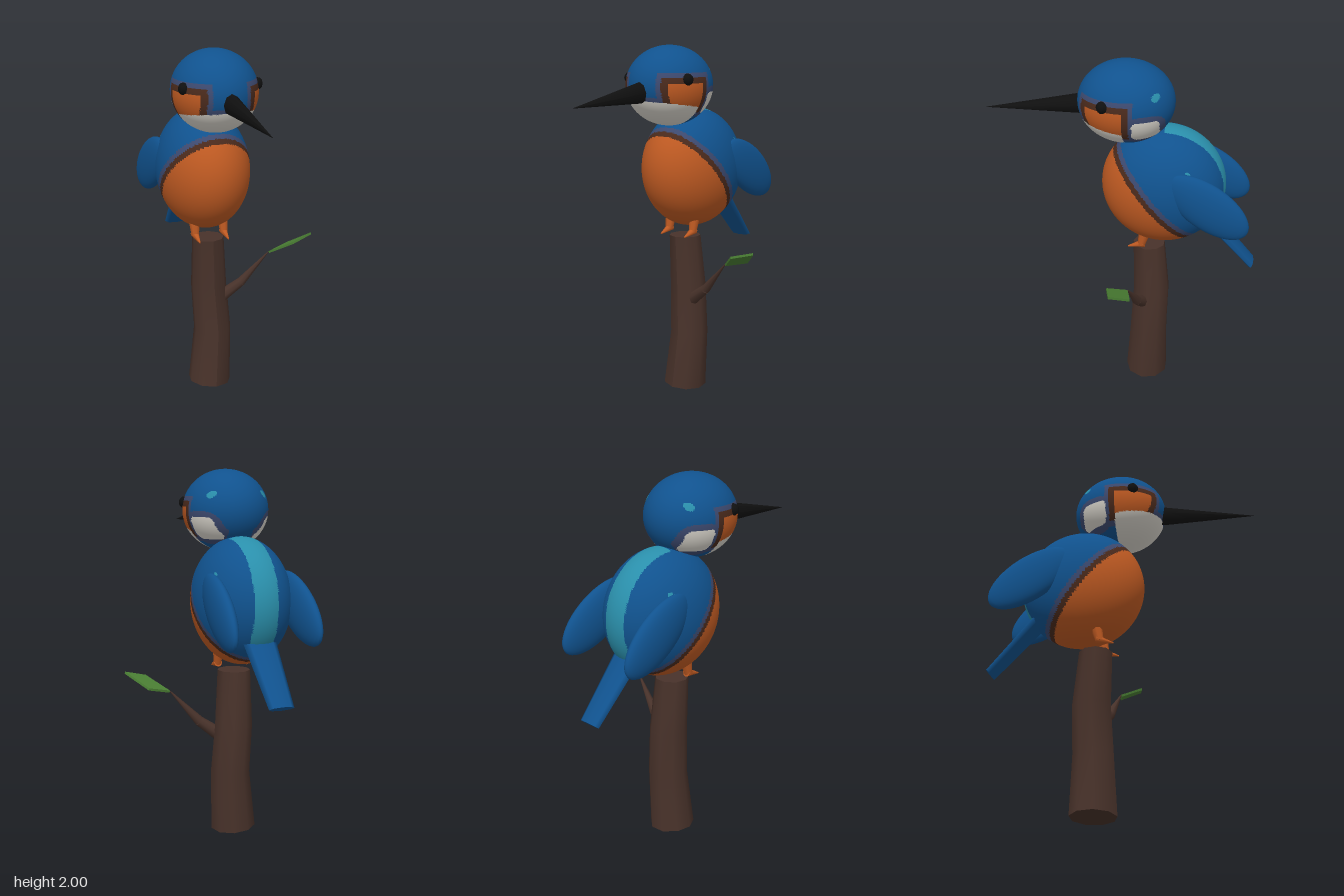
import * as THREE from 'three';
import { ConvexGeometry } from 'three/addons/geometries/ConvexGeometry.js';

const CX = -0.155; // middle of the bird

export function createModel() {
  const group = new THREE.Group();
  const mat = (name, color) => {
    const m = new THREE.MeshStandardMaterial({ color });
    m.name = name;
    return m;
  };
  const blue = mat('blue', 0x10528e);
  const teal = mat('teal', 0x2a8fab);
  const orange = mat('orange', 0xbf5a22);
  const brown = mat('darkBrown', 0x4a2a1c);
  const slate = mat('slate', 0x3d4a70);
  const white = mat('white', 0xdad6cd);
  const black = mat('black', 0x101010);
  const bark = mat('bark', 0x48322a);
  const green = mat('green', 0x4b8034);
  const V = (x, y, z) => new THREE.Vector3(x, y, z);

  const add = (name, geometry, material, x = 0, y = 0, z = 0) => {
    const mesh = new THREE.Mesh(geometry, material);
    mesh.name = name;
    mesh.position.set(x, y, z);
    group.add(mesh);
    return mesh;
  };

  // Ellipsoid whose faces get a colour from rule(offset from its centre)
  const paintedBall = (name, centre, radii, palette, rule) => {
    const geo = new THREE.SphereGeometry(1, 144, 108).scale(...radii);
    const pos = geo.attributes.position;
    const idx = geo.index.array;
    const buckets = palette.map(() => []);
    const c = V(0, 0, 0), p = V(0, 0, 0);
    for (let i = 0; i < idx.length; i += 3) {
      c.set(0, 0, 0);
      for (let k = 0; k < 3; k++) c.add(p.fromBufferAttribute(pos, idx[i + k]));
      c.divideScalar(3);
      buckets[palette.indexOf(rule(c))].push(idx[i], idx[i + 1], idx[i + 2]);
    }
    geo.setIndex(buckets.flat());
    let start = 0;
    buckets.forEach((b, i) => {
      geo.addGroup(start, b.length, i);
      start += b.length;
    });
    return add(name, geo, palette, ...centre);
  };

  // Tapered limb from a to b, with its section scaled sideways and upright
  const limb = (name, a, b, r0, r1, material, sx = 1, sy = 1, sides = 8) => {
    const geo = new THREE.CylinderGeometry(r1, r0, a.distanceTo(b), sides);
    geo.rotateX(Math.PI / 2).scale(sx, sy, 1);
    const mid = a.clone().add(b).multiplyScalar(0.5);
    const mesh = add(name, geo, material, mid.x, mid.y, mid.z);
    mesh.lookAt(b);
    return mesh;
  };

  // Body: orange belly, two bordering bands, blue back with a teal stripe
  const BR = [0.256, 0.342, 0.342];
  paintedBall('body', [CX, 1.306, -0.222], BR, [blue, teal, orange, brown, slate], (p) => {
    const d = (-0.648 * p.y + 0.762 * p.z) / 0.342;
    if (d > 0.245) return orange;
    if (d > 0.155) return brown;
    if (d > 0.07) return slate;
    const ax = Math.abs(p.x);
    if (ax < 0.068 && p.z < 0 && d < -0.25) return teal;
    if (Math.hypot(p.y - 0.155, p.z + 0.135) < 0.016) return teal;
    return blue;
  });

  // Head: throat, orange cheeks with dark borders, pale neck patches
  const HY = 1.78, HZ = -0.012;
  paintedBall('head', [CX, HY, HZ], [0.23, 0.22, 0.26],
    [blue, teal, orange, brown, slate, white], (p) => {
      const ax = Math.abs(p.x), y = p.y + HY, z = p.z + HZ;
      const throat = 1.672 + 0.14 * z;
      if (y < throat && z > -0.015) return white;
      const cheek = Math.max(0.147 - ax, Math.abs(y - 1.735) - 0.065, -0.015 - z);
      if (cheek < 0) return orange;
      const qz = Math.max(0, Math.abs(z + 0.132) - 0.04);
      const qy = Math.max(0, Math.abs(y - 1.69) - 0.03);
      const neck = Math.hypot(qz, qy) - 0.03;
      if (neck < 0 && ax > 0.08) return white;
      if (cheek < 0.03) return brown;
      if (cheek < 0.055 || (neck < 0.028 && ax > 0.07)) return slate;
      if (y < throat + 0.022 && z > 0) return slate;
      if (Math.hypot(y - 1.866, z + 0.18) < 0.02) return teal;
      return blue;
    });

  // Bill
  limb('bill', V(CX, 1.757, 0.18), V(CX, 1.7, 0.75), 0.064, 0.001, black, 0.75, 1);

  // Tail
  limb('tail', V(CX, 1.2, -0.4), V(CX, 0.828, -0.735), 0.1, 0.07, blue, 1, 0.27);

  for (const s of [-1, 1]) {
    const side = s < 0 ? 'right' : 'left';
    // Eyes
    add(side + 'Eye', new THREE.SphereGeometry(0.033, 8, 6), black, CX + s * 0.2, 1.82, 0.088);
    // Folded wings
    const wing = add(side + 'Wing', new THREE.SphereGeometry(1, 32, 24).scale(0.053, 0.13, 0.262),
      blue, CX + s * 0.222, 1.288, -0.472);
    wing.rotation.set(-0.6, -s * 0.05, 0, 'YXZ');
    // Legs and toes
    const x = CX + s * 0.085;
    limb(side + 'Leg', V(x, 1.03, -0.13), V(x, 0.945, -0.11), 0.032, 0.022, orange);
    limb(side + 'Foot', V(x, 0.955, -0.125), V(x, 0.927, -0.035), 0.024, 0.004, orange);
  }

  // Stump: a cylinder bent through rings of x, y, z, radius
  const rings = [
    [-0.155, 0.01, -0.148, 0.124],
    [-0.13, 0.34, -0.158, 0.109],
    [-0.145, 0.61, -0.168, 0.104],
    [-0.153, 0.915, -0.148, 0.091],
  ];
  const stump = new THREE.CylinderGeometry(1, 1, 3, 9, 3);
  const sp = stump.attributes.position;
  for (let i = 0; i < sp.count; i++) {
    const row = Math.round(sp.getY(i) + 1.5);
    const [x, y, z, r] = rings[row];
    const tilt = row === 0 ? -0.01 * sp.getX(i) : 0;
    sp.setXYZ(i, x + r * sp.getX(i), y + tilt, z + r * sp.getZ(i));
  }
  stump.computeVertexNormals();
  add('stump', stump, bark);

  // Twig in two tapering pieces
  const bend = V(0.03, 0.625, -0.1);
  limb('twigBase', V(-0.1, 0.53, -0.13), bend, 0.04, 0.028, bark);
  limb('twigEnd', bend, V(0.19, 0.802, -0.067), 0.028, 0.003, bark);

  // Leaf: a thin slanted diamond
  const outline = [
    V(0.19, 0.805, -0.065), V(0.319, 0.835, -0.093),
    V(0.422, 0.915, 0.01), V(0.296, 0.882, 0.037),
  ];
  const under = outline.map((p) => p.clone().add(V(0.003, -0.012, 0.001)));
  add('leaf', new ConvexGeometry([...outline, ...under]), green);

  return group;
}
